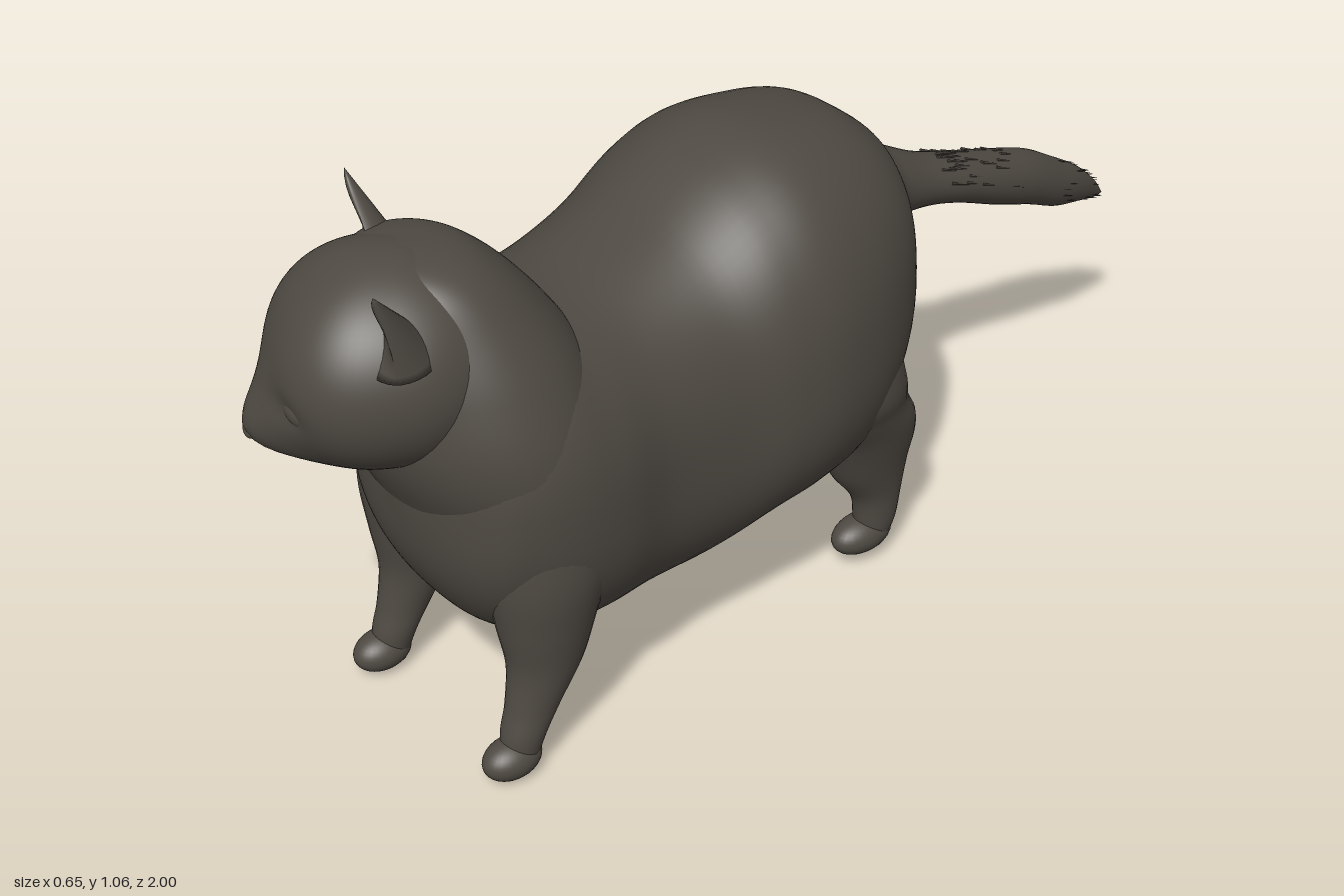
import * as THREE from 'three';
import { mergeVertices, mergeGeometries } from 'three/addons/utils/BufferGeometryUtils.js';

const fur = new THREE.MeshStandardMaterial({ color: 0x4f4a43 });
fur.name = 'darkFur';

// Weld seams so normals run smoothly over the whole part
function smooth(geo) {
  geo.deleteAttribute('uv');
  geo.deleteAttribute('normal');
  const welded = mergeVertices(geo, 1e-5);
  welded.computeVertexNormals();
  return welded;
}

const power = (v, e) => Math.sign(v) * Math.pow(Math.abs(v), e);

// Skin over rings [x, y, z, radiusX, radius2, skew], stacked upward along axis 'y' or 'z';
// a roundness below 1 makes the rings squarer
function loft(rings, axis, steps = 60, sides = 48, roundness = 1) {
  const mids = new THREE.CatmullRomCurve3(rings.map(r => new THREE.Vector3(r[0], r[1], r[2])), false, 'catmullrom');
  const sizes = new THREE.CatmullRomCurve3(rings.map(r => new THREE.Vector3(r[3], r[4], r[5] || 0)), false, 'catmullrom');
  const pos = [], idx = [];
  for (let i = 0; i <= steps; i++) {
    const c = mids.getPoint(i / steps), s = sizes.getPoint(i / steps);
    const ra = Math.max(s.x, 0), rb = Math.max(s.y, 0);
    for (let j = 0; j < sides; j++) {
      const a = j / sides * Math.PI * 2;
      const sin = power(Math.sin(a), roundness), cos = power(Math.cos(a), roundness);
      const u = ra * cos * (1 - s.z * sin), v = rb * sin;
      if (axis === 'z') pos.push(c.x + u, c.y + v, c.z);
      else pos.push(c.x + u, c.y, c.z - v);
      if (i < steps) {
        const p = i * sides + j, q = i * sides + (j + 1) % sides;
        idx.push(p, q, q + sides, p, q + sides, p + sides);
      }
    }
  }
  const geo = new THREE.BufferGeometry();
  geo.setAttribute('position', new THREE.Float32BufferAttribute(pos, 3));
  geo.setIndex(idx);
  return smooth(geo);
}

// Move every vertex by a rule
function reshape(geo, rule) {
  const p = geo.attributes.position, v = new THREE.Vector3();
  for (let i = 0; i < p.count; i++) {
    rule(v.fromBufferAttribute(p, i));
    p.setXYZ(i, v.x, v.y, v.z);
  }
  return smooth(geo);
}

function add(parent, name, geo) {
  const mesh = new THREE.Mesh(geo, fur);
  mesh.name = name;
  parent.add(mesh);
}

function ball(parent, name, x, y, z, rx, ry, rz, turn = 0) {
  add(parent, name, new THREE.SphereGeometry(1, 28, 20).scale(rx, ry, rz).rotateY(turn).translate(x, y, z));
}

const bump = (d, width) => Math.exp(-(d * d) / (width * width));

function makeHead() {
  const head = new THREE.Group();
  head.name = 'head';
  // Skull with full cheeks, a straight nose bridge, blunt muzzle and shallow eye sockets
  const skull = new THREE.SphereGeometry(1, 72, 56).scale(0.2, 0.19, 0.2);
  add(head, 'skull', reshape(skull, v => {
    if (v.z <= 0) return;
    const front = Math.min(1, v.z / 0.06);
    const corner = v.x * v.z / (v.x * v.x + v.z * v.z);
    const cheek = 1 + 0.3 * corner * corner;
    v.x *= cheek;
    v.z *= cheek;
    const dy = v.y + 0.143;
    v.z += front * 0.095 * bump(v.x, 0.075) * bump(dy, dy > 0 ? 0.1 : 0.062);
    v.z -= front * 0.01 * bump(Math.abs(v.x) - 0.09, 0.035) * bump(v.y + 0.03, 0.03);
  }));
  ball(head, 'nose', 0, -0.118, 0.237, 0.02, 0.014, 0.012);
  for (const s of [1, -1]) {
    const side = s > 0 ? 'left' : 'right';
    ball(head, side + 'Eye', s * 0.09, -0.03, 0.168, 0.036, 0.025, 0.018, s * 0.35);
    // Ear: broad leaning cone with a hollow front
    const ear = new THREE.ConeGeometry(1, 1, 32, 12).translate(0, 0.5, 0);
    add(head, side + 'Ear', reshape(ear, v => {
      const t = v.y;
      const hollow = v.z > 0 ? 1 - Math.sin(Math.PI * Math.min(1, t * 0.9 + 0.1)) : 1;
      v.set(0.012 + s * (0.104 + 0.084 * t) + v.x * 0.088,
        0.075 + 0.169 * t,
        0.005 + 0.035 * t + s * 0.01 + v.z * 0.075 * hollow);
    }));
  }
  head.position.set(0.02, 0.81, 0.78);
  head.rotation.set(0, -0.44, -0.05, 'YXZ');
  return head;
}

// Rings of one leg: [y, z, radiusX, radiusZ]; x runs from foot to top
const frontLeg = [
  [0.02, 0.705, 0.028, 0.03], [0.08, 0.695, 0.039, 0.042], [0.14, 0.67, 0.045, 0.053],
  [0.22, 0.642, 0.06, 0.072], [0.31, 0.635, 0.078, 0.094], [0.42, 0.625, 0.095, 0.12],
  [0.55, 0.61, 0.088, 0.13], [0.68, 0.6, 0.06, 0.09], [0.74, 0.6, 0, 0]];
const hindLeg = [
  [0.03, -0.18, 0.026, 0.026], [0.08, -0.188, 0.036, 0.043], [0.15, -0.187, 0.04, 0.055],
  [0.22, -0.166, 0.051, 0.085], [0.28, -0.155, 0.064, 0.106], [0.33, -0.138, 0.076, 0.116],
  [0.385, -0.1, 0.09, 0.125], [0.45, -0.065, 0.104, 0.145],
  [0.58, -0.04, 0.088, 0.13], [0.7, -0.01, 0.05, 0.08], [0.76, 0, 0, 0]];

function addLeg(parent, name, rings, footX, topX, paw) {
  const leg = new THREE.Group();
  leg.name = name;
  const rows = rings.map(([y, z, rx, rz]) =>
    [THREE.MathUtils.lerp(footX, topX, Math.min(1, y / 0.45)), y, z, rx, rz]);
  add(leg, 'limb', loft(rows, 'y', 48, 32));
  ball(leg, 'paw', footX, paw.y, paw.z, 0.041, 0.038, paw.length);
  parent.add(leg);
}

export function createModel() {
  const cat = new THREE.Group();
  cat.name = 'cat';

  // Torso from rump to chest
  add(cat, 'torso', loft([
    [-0.015, 0.68, -0.335, 0, 0, 0], [-0.02, 0.675, -0.322, 0.07, 0.085, 0],
    [-0.028, 0.66, -0.295, 0.135, 0.155, 0.02], [-0.025, 0.635, -0.25, 0.212, 0.228, 0.04],
    [-0.02, 0.61, -0.18, 0.265, 0.3, 0.05], [-0.01, 0.59, -0.08, 0.302, 0.347, 0.05],
    [-0.005, 0.585, 0.03, 0.32, 0.36, 0.05], [-0.003, 0.565, 0.13, 0.314, 0.352, 0.05],
    [0, 0.52, 0.25, 0.292, 0.335, 0.03], [0.015, 0.505, 0.4, 0.277, 0.315, 0],
    [0.032, 0.51, 0.52, 0.285, 0.31, -0.04], [0.038, 0.53, 0.62, 0.283, 0.318, -0.07],
    [0.044, 0.545, 0.7, 0.258, 0.285, -0.09], [0.055, 0.555, 0.76, 0.207, 0.215, -0.05],
    [0.055, 0.565, 0.798, 0.125, 0.13, 0], [0.05, 0.57, 0.815, 0, 0, 0]], 'z', 96, 72, 0.84));

  // Thick neck rising into the back of the head
  add(cat, 'neck', loft([
    [0.045, 0.36, 0.6, 0, 0], [0.045, 0.45, 0.61, 0.22, 0.14], [0.045, 0.57, 0.63, 0.262, 0.195],
    [0.043, 0.68, 0.652, 0.262, 0.21], [0.037, 0.79, 0.67, 0.232, 0.192],
    [0.03, 0.88, 0.692, 0.19, 0.155], [0.024, 0.95, 0.717, 0.142, 0.116],
    [0.02, 0.985, 0.735, 0.085, 0.077], [0.02, 0.998, 0.75, 0, 0]], 'y', 72, 64));

  cat.add(makeHead());

  addLeg(cat, 'leftFrontLeg', frontLeg, 0.218, 0.217, { y: 0.038, z: 0.722, length: 0.058 });
  addLeg(cat, 'rightFrontLeg', frontLeg, -0.168, -0.145, { y: 0.043, z: 0.722, length: 0.058 });
  addLeg(cat, 'leftHindLeg', hindLeg, 0.155, 0.178, { y: 0.057, z: -0.16, length: 0.068 });
  addLeg(cat, 'rightHindLeg', hindLeg, -0.21, -0.192, { y: 0.054, z: -0.16, length: 0.068 });

  // Tail, listed from tip to root
  const tail = [
    [-0.033, 0.403, -0.99, 0, 0], [-0.031, 0.425, -0.96, 0.013, 0.02], [-0.026, 0.462, -0.9, 0.03, 0.04],
    [-0.02, 0.5, -0.82, 0.043, 0.055], [-0.016, 0.542, -0.74, 0.05, 0.06], [-0.013, 0.58, -0.64, 0.054, 0.058],
    [-0.01, 0.623, -0.53, 0.056, 0.052], [-0.01, 0.653, -0.44, 0.057, 0.055],
    [-0.012, 0.677, -0.36, 0.068, 0.074], [-0.016, 0.677, -0.315, 0.092, 0.098], [-0.02, 0.67, -0.25, 0.1, 0.1]];
  add(cat, 'tail', loft(tail, 'z', 64, 32));

  // Short hair tufts lying back along the tail
  let seed = 7;
  const rand = () => (seed = (seed * 16807) % 2147483647) / 2147483647;
  const tufts = [];
  for (let i = 0; i < 90; i++) {
    const k = i % 2 ? 1 + rand() * 2 : 4.5 + rand() * 2;
    const r = tail[Math.floor(k)], n = tail[Math.floor(k) + 1], f = k % 1;
    const [x, y, z, rx, ry] = r.map((value, c) => THREE.MathUtils.lerp(value, n[c], f));
    const a = i % 2 ? rand() * Math.PI * 2 : rand() * Math.PI;
    tufts.push(new THREE.ConeGeometry(0.003, 0.05, 4)
      .rotateX(-Math.PI / 2 - 0.42)
      .translate(x + rx * Math.cos(a), y + ry * Math.sin(a), Math.max(z, -0.955)));
  }
  add(cat, 'tailTufts', mergeGeometries(tufts));
  return cat;
}
